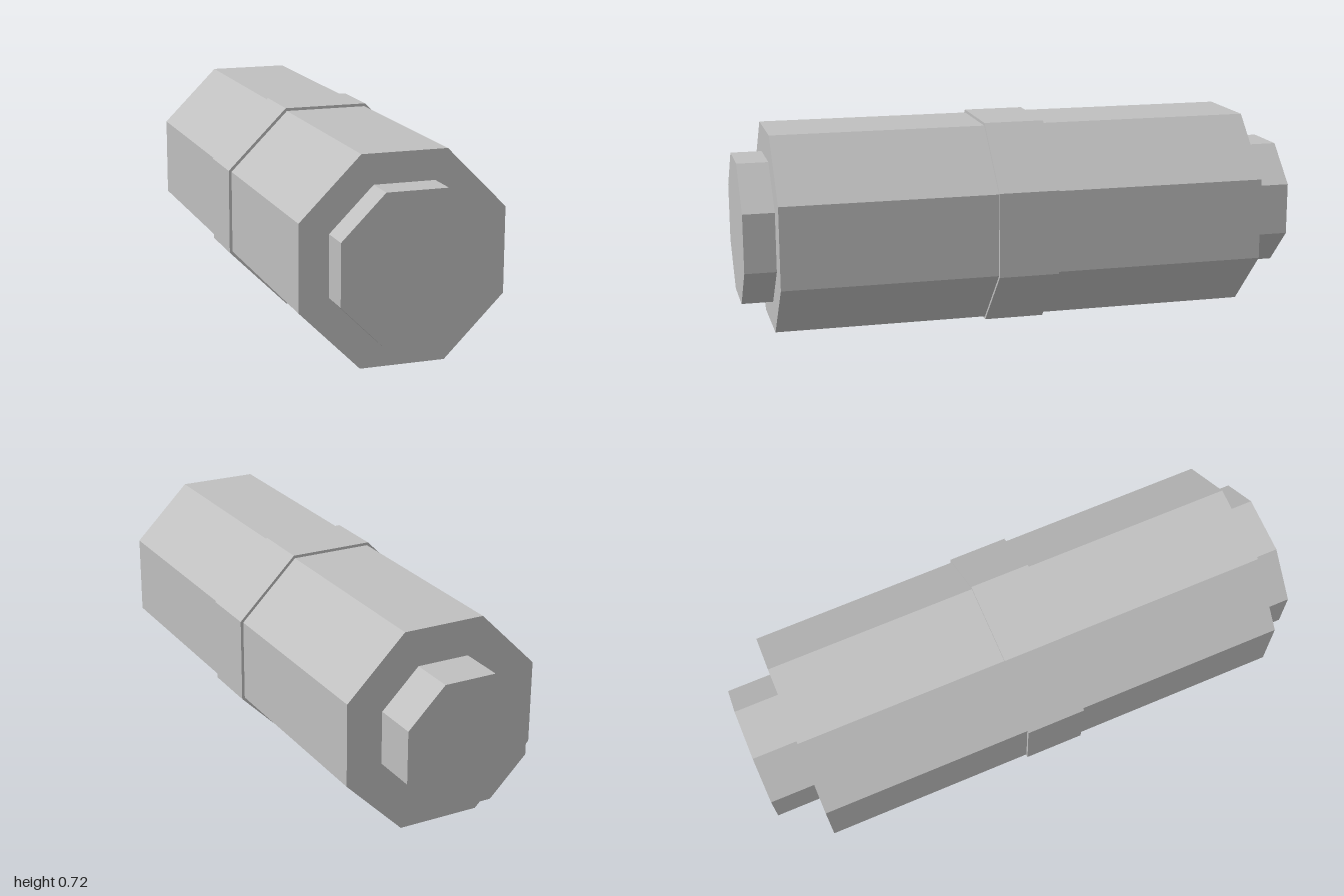
import * as THREE from 'three';

const CENTRE_Y = 0.36;

export function createModel() {
  const group = new THREE.Group();
  const grey = new THREE.MeshStandardMaterial({ color: 0xbfbfbf, flatShading: true });
  grey.name = 'grey';

  // Octagonal prism along z, sized by the distance from its axis to its flats
  const addPrism = (name, flat, zBack, zFront) => {
    const r = flat / Math.cos(Math.PI / 8);
    const geo = new THREE.CylinderGeometry(r, r, zFront - zBack, 8, 1, false, Math.PI / 8);
    geo.rotateX(Math.PI / 2);
    const mesh = new THREE.Mesh(geo, grey);
    mesh.name = name;
    mesh.position.set(0, CENTRE_Y, (zBack + zFront) / 2);
    group.add(mesh);
  };

  addPrism('body', 0.35, -0.838, 0.89);
  addPrism('middleBand', 0.36, -0.08, 0.134);
  addPrism('frontCap', 0.25, 0.88, 1);
  addPrism('backCap', 0.223, -1, -0.83);

  return group;
}
